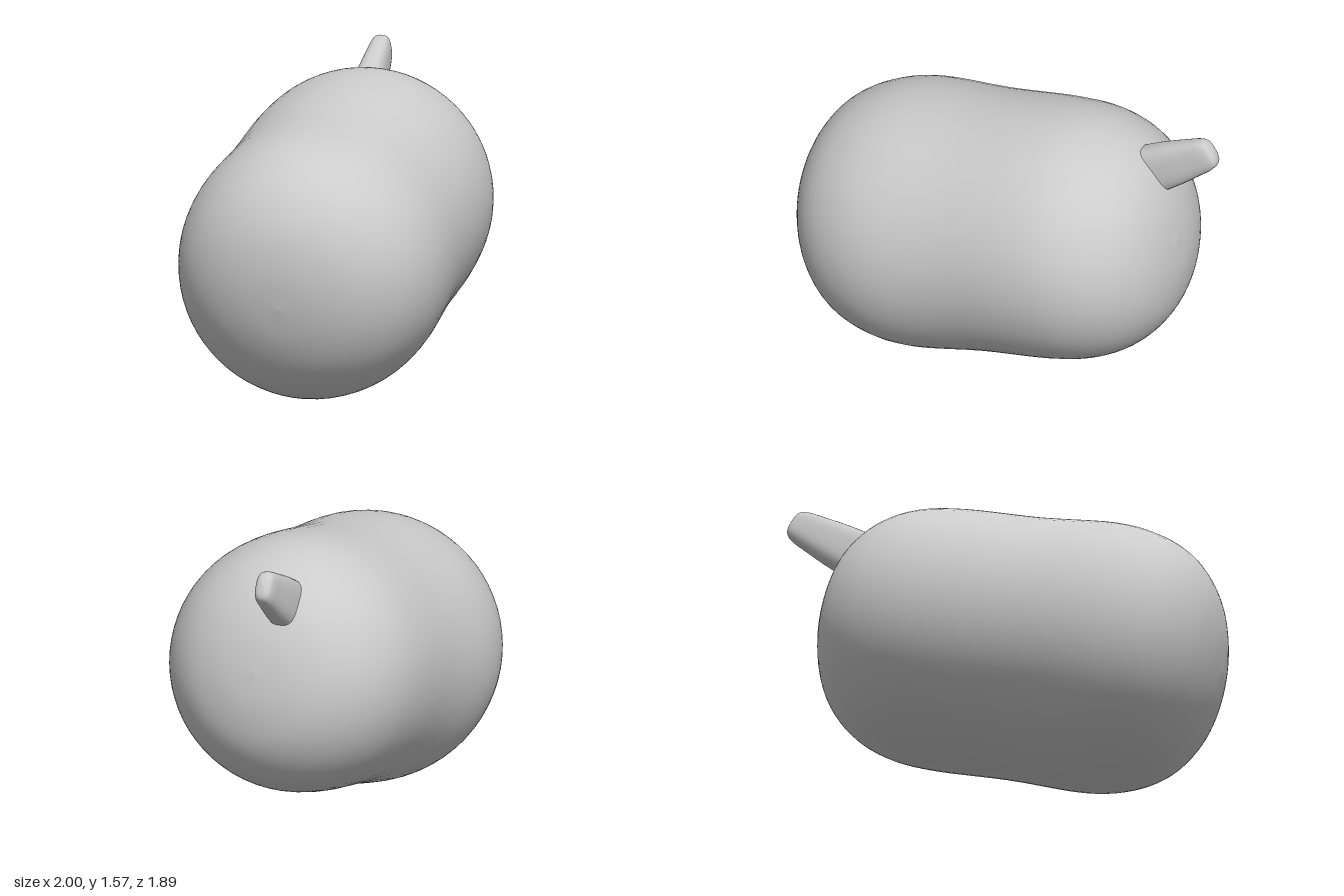
import * as THREE from 'three';

const material = new THREE.MeshStandardMaterial({ color: 0xcccccc });

// Smooth turned solid from [radius, height] points, listed bottom to top
function turned(name, points, steps, segments) {
  const curve = new THREE.SplineCurve(points.map(([r, h]) => new THREE.Vector2(r, h)));
  const profile = curve.getPoints(steps).map((p) => new THREE.Vector2(Math.max(p.x, 0), p.y));
  const mesh = new THREE.Mesh(new THREE.LatheGeometry(profile, segments), material);
  mesh.name = name;
  return mesh;
}

// Push round cross-sections out towards a rounded square
function squareOff(mesh) {
  const pos = mesh.geometry.attributes.position;
  for (let i = 0; i < pos.count; i++) {
    const x = pos.getX(i), z = pos.getZ(i), r = Math.hypot(x, z);
    if (r < 1e-6) continue;
    const k = (Math.abs(x / r) ** 3 + Math.abs(z / r) ** 3) ** (-1 / 3);
    pos.setXYZ(i, x * k, pos.getY(i), z * k);
  }
  mesh.geometry.computeVertexNormals();
  return mesh;
}

// Bake an orientation: local y along the axis, local z level and sideways
function place(mesh, axis, origin, thickness = 1) {
  const y = new THREE.Vector3(...axis).normalize();
  const z = new THREE.Vector3().crossVectors(y, new THREE.Vector3(0, 1, 0)).normalize();
  const x = new THREE.Vector3().crossVectors(y, z);
  mesh.geometry.scale(1, 1, thickness);
  mesh.geometry.applyMatrix4(new THREE.Matrix4().makeBasis(x, y, z).setPosition(...origin));
  return mesh;
}

export function createModel() {
  const model = new THREE.Group();
  model.name = 'beanWithStem';

  // Plump body with a faint waist, lying diagonally, slimmer at the raised back end
  const body = turned('body', [
    [0, -1.04], [0.2, -1.02], [0.4, -0.95], [0.56, -0.82], [0.655, -0.64], [0.695, -0.4],
    [0.676, 0],
    [0.673, 0.4], [0.64, 0.64], [0.55, 0.83], [0.4, 0.97], [0.2, 1.045], [0, 1.065],
  ], 60, 64);
  model.add(place(body, [0.767, 0.2, -0.61], [0, 0.772, 0]));

  // Flattened, tapering stem at the upper back end
  const stem = squareOff(turned('stem', [
    [0.128, 0], [0.118, 0.12], [0.1, 0.25], [0.085, 0.34], [0.06, 0.382], [0, 0.395],
  ], 24, 32));
  const stemAxis = [0.25, 0.2, -0.22];
  const stemBase = [0.605, 1.315, -0.61];
  model.add(place(stem, stemAxis, stemBase, 0.6));

  // Flat cap closing the lower end of the stem
  const cap = squareOff(new THREE.Mesh(new THREE.CircleGeometry(0.128, 32).rotateX(Math.PI / 2), material));
  cap.name = 'stemCap';
  model.add(place(cap, stemAxis, stemBase, 0.6));

  return model;
}
